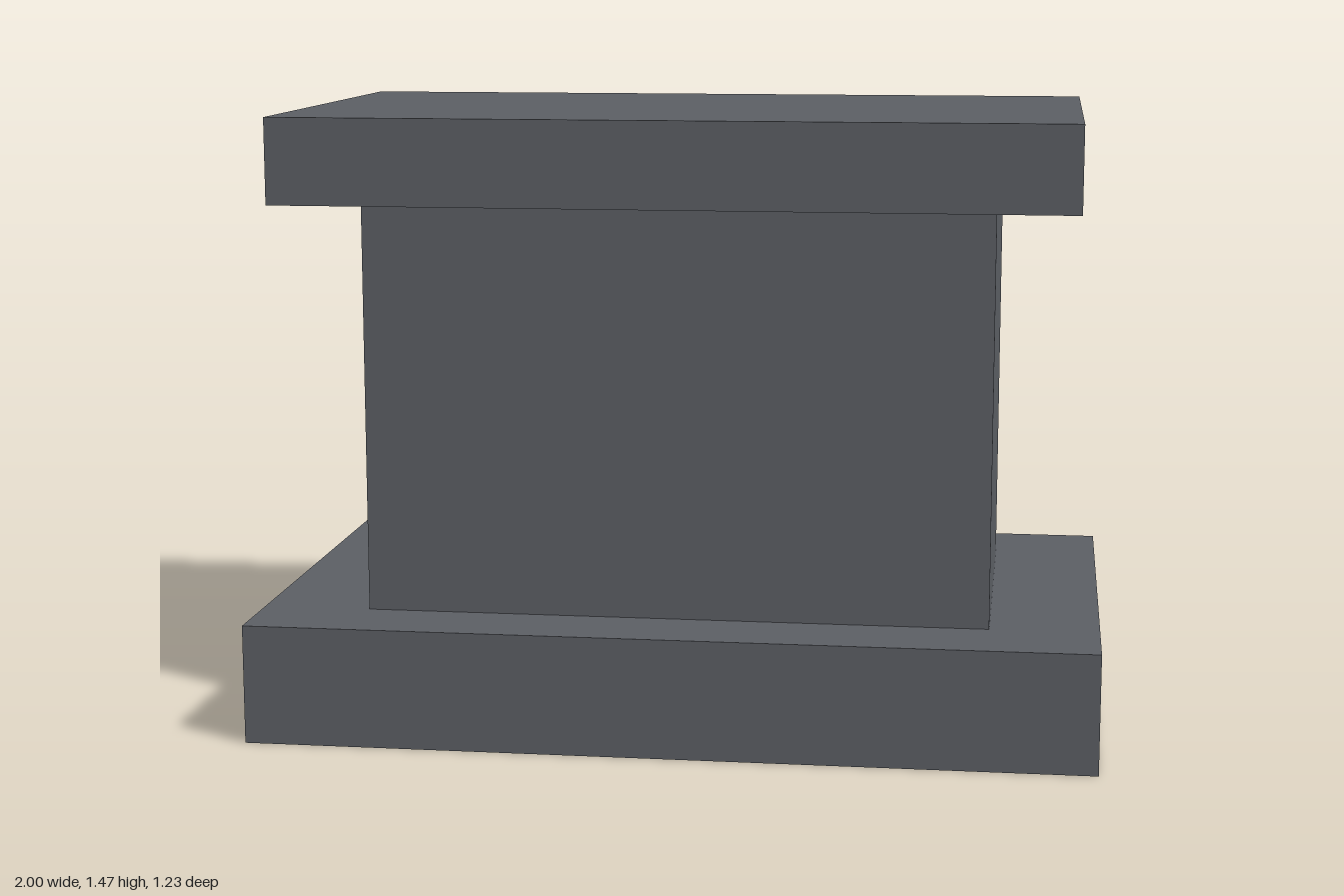
import * as THREE from 'three';

export function createModel() {
  const group = new THREE.Group();
  group.name = 'pedestal';
  const stone = new THREE.MeshStandardMaterial({ color: 0x5b5e64 });
  stone.name = 'dark grey stone';

  // A centred block between two heights
  const addBlock = (name, width, depth, bottom, top) => {
    const mesh = new THREE.Mesh(new THREE.BoxGeometry(width, top - bottom, depth), stone);
    mesh.name = name;
    mesh.position.y = (bottom + top) / 2;
    group.add(mesh);
  };

  addBlock('base', 2, 1.228, 0, 0.285);
  addBlock('body', 1.485, 0.838, 0.285, 1.27);
  addBlock('cap', 1.868, 1.098, 1.27, 1.473);

  return group;
}
